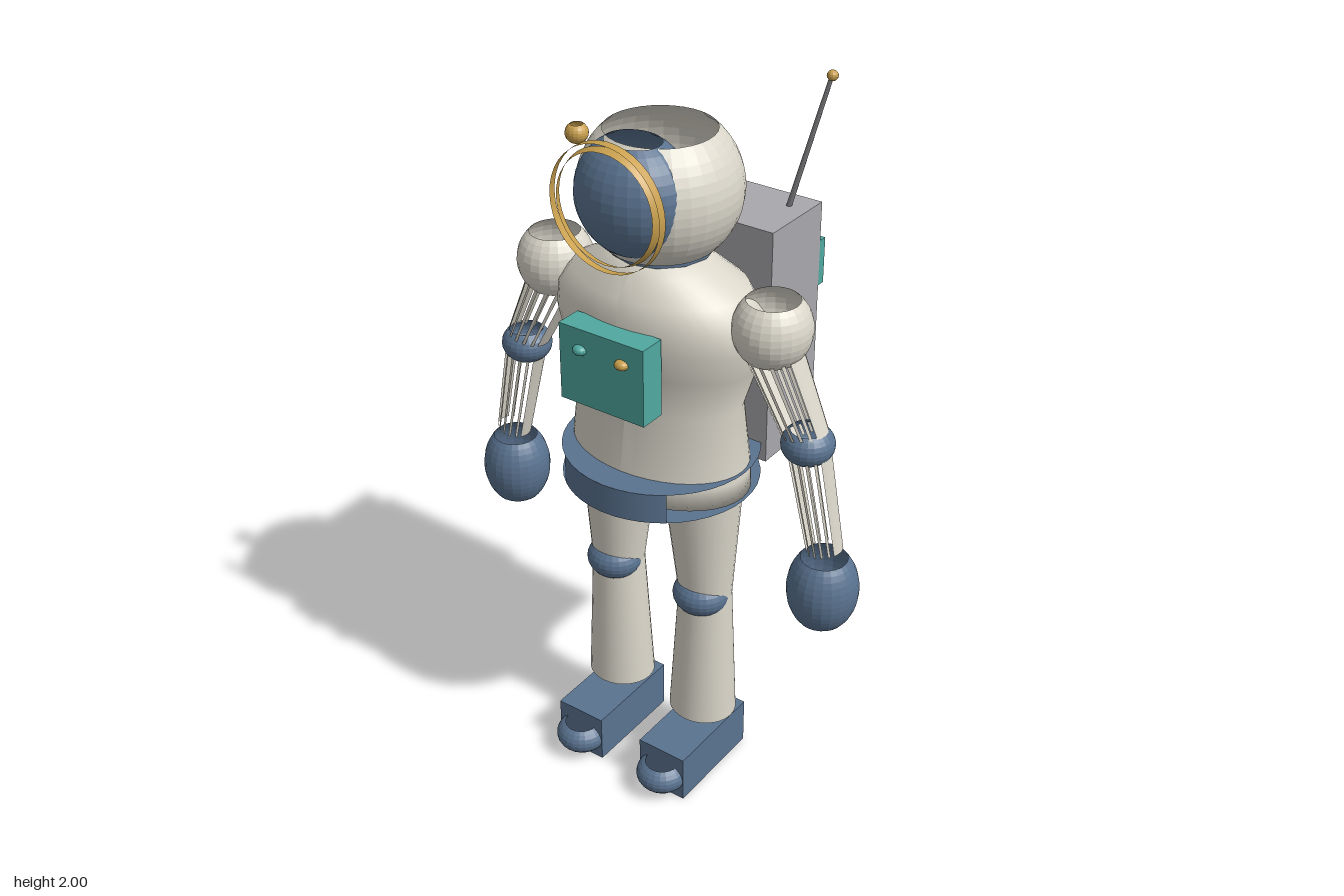
import * as THREE from 'three';

const mat = (name, color) => {
  const m = new THREE.MeshStandardMaterial({ color, side: THREE.DoubleSide });
  m.name = name;
  return m;
};

export function createModel() {
  const cream = mat('cream suit', 0xdad6ca);
  const blue = mat('slate blue', 0x5a7390);
  const teal = mat('teal', 0x50a8a0);
  const gold = mat('gold', 0xc9a04e);
  const grey = mat('pack grey', 0xa9a9ad);
  const steel = mat('antenna steel', 0x77777a);

  const model = new THREE.Group();
  model.name = 'spaceSuit';

  const add = (name, geo, material, pos = [0, 0, 0], scale = [1, 1, 1]) => {
    const m = new THREE.Mesh(geo, material);
    m.name = name;
    m.position.set(...pos);
    m.scale.set(...scale);
    model.add(m);
    return m;
  };

  const box = (name, material, x, y, z) =>
    add(name, new THREE.BoxGeometry(x[1] - x[0], y[1] - y[0], z[1] - z[0]), material,
      [(x[0] + x[1]) / 2, (y[0] + y[1]) / 2, (z[0] + z[1]) / 2]);

  // Faceted ball with both poles cut away at the polar angle `cut`
  const ball = (name, material, pos, radii, cut = 0, seg = 24, rows = 12) => {
    const g = new THREE.SphereGeometry(1, seg, rows, 0, Math.PI * 2, cut, Math.PI - 2 * cut)
      .scale(...radii).toNonIndexed();
    g.computeVertexNormals();
    return add(name, g, material, pos);
  };

  // Cylinder part stretched between two points
  const between = (name, material, a, b, ra, rb, theta = 0, arc = Math.PI * 2, seg = 20, open = true) => {
    const p = new THREE.Vector3(...a), q = new THREE.Vector3(...b);
    const dir = q.clone().sub(p);
    const g = new THREE.CylinderGeometry(rb, ra, dir.length(), seg, 1, open, theta, arc);
    const m = add(name, g, material, p.clone().add(q).multiplyScalar(0.5).toArray());
    m.quaternion.setFromUnitVectors(new THREE.Vector3(0, 1, 0), dir.normalize());
    return m;
  };

  // Sleeve: solid panels on the outer and inner sides, thin slats front and back
  const sleeve = (name, a, b, ra, rb) => {
    for (const half of [0, Math.PI]) {
      between(name + 'Panel', cream, a, b, ra, rb, half + Math.PI / 2 - 0.5, 1.0, 4);
      for (let i = -2; i <= 2; i++)
        between(name + 'Slat', cream, a, b, ra, rb, half + i * 0.4 - 0.07, 0.14, 1);
    }
  };

  // Torso
  const profile = [[0.001, 0.95], [0.265, 0.94], [0.263, 1.0], [0.244, 1.2], [0.282, 1.32], [0.302, 1.4],
    [0.295, 1.46], [0.25, 1.52], [0.15, 1.57], [0.11, 1.61], [0.001, 1.61]]
    .map(([r, y]) => new THREE.Vector2(r, y));
  const torso = new THREE.LatheGeometry(profile, 40);
  // Depth follows a flatter rule than width
  const tp = torso.attributes.position;
  for (let i = 0; i < tp.count; i++) {
    const y = tp.getY(i);
    const k = y < 1.2 ? 0.7 : y < 1.5 ? 0.63 : 0.63 + (y - 1.5) * 3.5;
    tp.setZ(i, tp.getZ(i) * k);
  }
  torso.computeVertexNormals();
  add('torso', torso, cream, [0, 0, 0.065]);

  // Belt: front and back arcs joined by flat elliptical rims
  for (const start of [-0.66, Math.PI - 0.66])
    add('beltBand', new THREE.CylinderGeometry(1, 1, 0.086, 10, 1, true, start, 1.32), blue,
      [0, 0.978, 0.062], [0.27, 1, 0.263]);
  for (const y of [0.935, 1.021])
    add('beltRim', new THREE.RingGeometry(0.7, 1, 40).rotateX(-Math.PI / 2), blue,
      [0, y, 0.062], [0.27, 1, 0.263]);

  // Collar, helmet and visor
  add('collar', new THREE.CylinderGeometry(0.135, 0.135, 0.03, 12), blue, [0, 1.61, 0.055]);
  ball('helmet', cream, [0, 1.76, 0.06], [0.21, 0.205, 0.21], 0.74, 32, 14);
  ball('visor', blue, [0, 1.775, 0.17], [0.156, 0.158, 0.13], 0.5, 28, 14);

  // Visor frame: two concentric hoops
  for (const [front, back] of [[0.143, 0.151], [0.163, 0.165]])
    add('visorHoop', new THREE.CylinderGeometry(front, back, 0.022, 40, 1, true).rotateX(Math.PI / 2),
      gold, [0, 1.776, 0.279]);
  ball('helmetLamp', gold, [-0.196, 1.876, 0.138], [0.03, 0.028, 0.03], 0.6, 16, 8);

  // Chest control box
  box('chestBox', teal, [-0.13, 0.13], [1.235, 1.45], [0.24, 0.315]);
  ball('chestButtonRight', teal, [-0.065, 1.392, 0.316], [0.02, 0.014, 0.018], 0, 16, 8);
  ball('chestButtonLeft', gold, [0.065, 1.392, 0.316], [0.02, 0.014, 0.018], 0, 16, 8);

  // Backpack and antenna
  box('backpack', grey, [-0.24, 0.24], [0.967, 1.64], [-0.316, -0.083]);
  box('backpackStripe', teal, [-0.24, 0.24], [1.4, 1.53], [-0.341, -0.316]);
  between('antenna', steel, [0.18, 1.63, -0.247], [0.258, 1.985, -0.302], 0.008, 0.006, 0, Math.PI * 2, 8, false);
  ball('antennaTip', gold, [0.259, 1.986, -0.304], [0.015, 0.014, 0.015], 0, 12, 8);

  // Limbs, mirrored
  for (const [s, side] of [[1, 'left'], [-1, 'right']]) {
    const z = 0.065;

    ball(side + 'Shoulder', cream, [s * 0.34, 1.47, z], [0.102, 0.106, 0.105], 0.72, 24, 10);
    sleeve(side + 'UpperArm', [s * 0.34, 1.42, z], [s * 0.455, 1.19, z], 0.073, 0.057);
    const cap = add(side + 'ArmCap', new THREE.CircleGeometry(0.075, 12).rotateX(-Math.PI / 2), cream,
      [s * 0.34, 1.425, z]);
    cap.rotation.z = s * 0.4;
    ball(side + 'Elbow', blue, [s * 0.455, 1.18, z], [0.07, 0.056, 0.07], 0.72, 24, 8);
    sleeve(side + 'Forearm', [s * 0.46, 1.16, z], [s * 0.52, 0.88, z], 0.056, 0.048);
    ball(side + 'Glove', blue, [s * 0.519, 0.758, z - 0.002], [0.096, 0.128, 0.096], 0.7, 24, 12);

    between(side + 'Thigh', cream, [s * 0.15, 0.59, z], [s * 0.138, 0.96, z], 0.076, 0.112, 0, Math.PI * 2, 28)
      .scale.z = 0.95;
    between(side + 'Shin', cream, [s * 0.145, 0.18, z], [s * 0.15, 0.6, z], 0.098, 0.076, 0, Math.PI * 2, 28, false)
      .scale.z = 0.93;
    ball(side + 'KneePad', blue, [s * 0.149, 0.592, 0.086], [0.08, 0.06, 0.075], 0.7, 24, 8);

    const x = [s * 0.145 - 0.076, s * 0.145 + 0.076];
    box(side + 'Boot', blue, x, [0, 0.143], [-0.04, 0.27]);
    ball(side + 'BootToe', blue, [s * 0.145, 0.062, 0.264], [0.075, 0.052, 0.076], 0.7, 24, 8);
  }

  return model;
}
